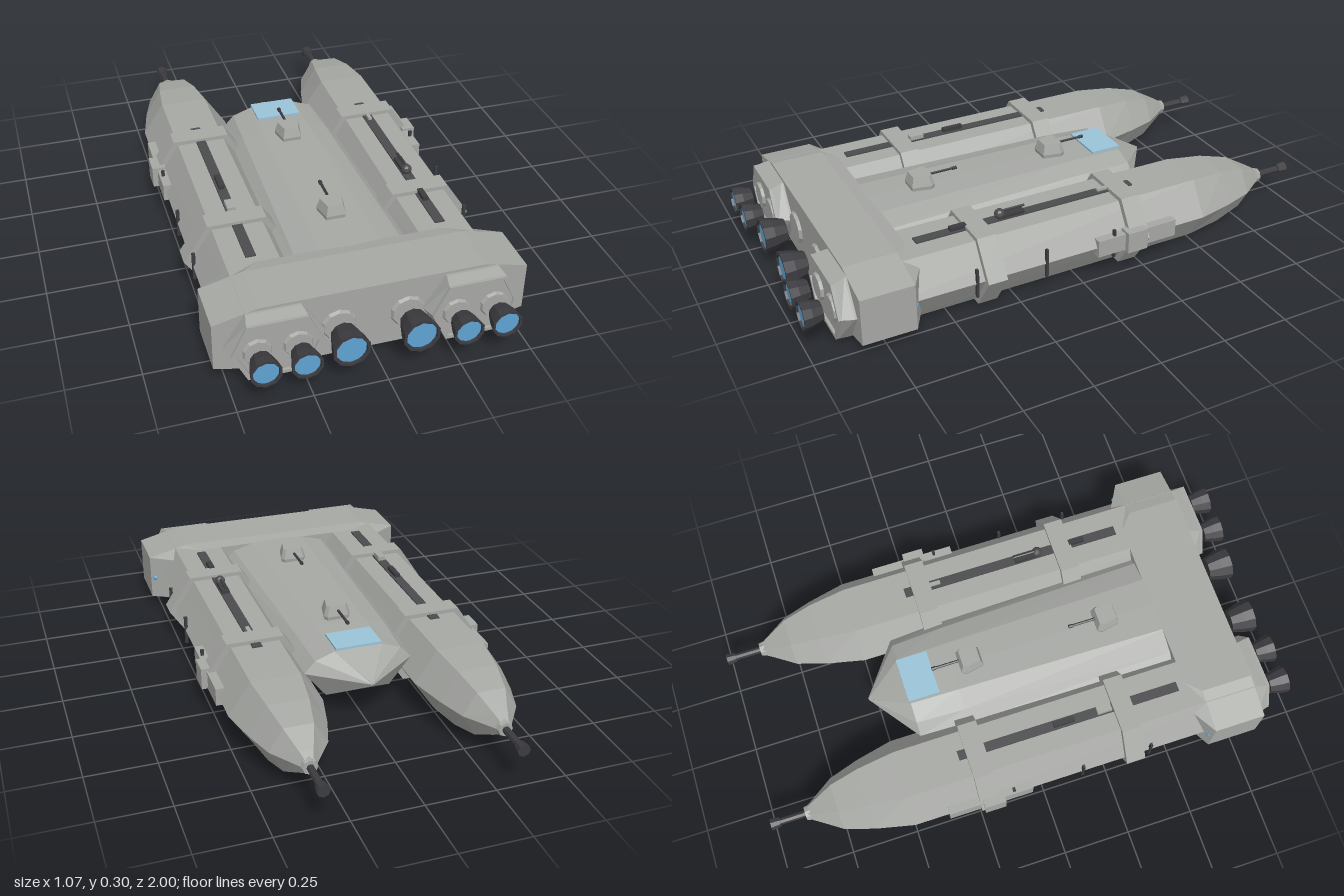
import * as THREE from 'three';

const mat = (name, color, extra = {}) => {
  const m = new THREE.MeshStandardMaterial({ color, flatShading: true, ...extra });
  m.name = name;
  return m;
};
const hullGrey = mat('hull grey', 0xa6a8a4);
const darkGrey = mat('dark trim', 0x4b4b4e);
const gunGrey = mat('gunmetal', 0x3c3c40);
const glowBlue = mat('engine blue', 0x5fa3d2, { side: THREE.DoubleSide });
const glassBlue = mat('window blue', 0x9ac3d8);

// Skin over cross-sections [z, [[x, y], ...]], counter-clockwise, z increasing
function loft(sections) {
  const n = sections[0][1].length, pos = [], idx = [];
  sections.forEach(([z, pts]) => pts.forEach(([x, y]) => pos.push(x, y, z)));
  for (let i = 0; i < sections.length - 1; i++) {
    for (let j = 0; j < n; j++) {
      const a = i * n + j, b = i * n + (j + 1) % n;
      idx.push(a, b, a + n, b, b + n, a + n);
    }
  }
  const last = (sections.length - 1) * n;
  for (let j = 1; j < n - 1; j++) {
    idx.push(0, j + 1, j, last, last + j, last + j + 1);
  }
  const g = new THREE.BufferGeometry();
  g.setAttribute('position', new THREE.Float32BufferAttribute(pos, 3));
  g.setIndex(idx);
  const flat = g.toNonIndexed();
  flat.computeVertexNormals();
  return flat;
}

const hex = (hw, flat, hh, cx = 0, cy = 0.137) => [
  [hw, 0], [flat, hh], [-flat, hh], [-hw, 0], [-flat, -hh], [flat, -hh],
].map(([x, y]) => [cx + x, cy + y]);

const octagon = (hw, flat, hh, sideH, cy = 0.14) => [
  [hw, -sideH], [hw, sideH], [flat, hh], [-flat, hh],
  [-hw, sideH], [-hw, -sideH], [-flat, -hh], [flat, -hh],
].map(([x, y]) => [x, cy + y]);

function add(parent, name, geometry, material, x = 0, y = 0, z = 0) {
  const m = new THREE.Mesh(geometry, material);
  m.name = name;
  m.position.set(x, y, z);
  parent.add(m);
  return m;
}
const box = (w, h, d) => new THREE.BoxGeometry(w, h, d);
// Cylinder along z; rBack is the radius at the +z end
const rod = (rBack, rFront, len, sides = 10, open = false) =>
  new THREE.CylinderGeometry(rBack, rFront, len, sides, 1, open).rotateX(Math.PI / 2);

// Engine bell with a glowing disc set inside its rim
function engine(parent, x, r, zEnd, len, mountZ) {
  const g = new THREE.Group();
  g.name = 'engine';
  g.position.set(x, 0.135, 0);
  parent.add(g);
  const bell = [[0, -len], [r * 0.68, -len], [r * 0.9, -len * 0.45], [r, 0], [r * 0.84, 0], [r * 0.82, -0.012]]
    .map(([a, b]) => new THREE.Vector2(a, b));
  add(g, 'engineBell', new THREE.LatheGeometry(bell, 10).rotateX(Math.PI / 2), gunGrey, 0, 0, zEnd);
  add(g, 'engineGlow', new THREE.CircleGeometry(r * 0.84, 10), glowBlue, 0, 0, zEnd - 0.008);
  add(g, 'engineCollar', rod(r * 0.85, r * 0.95, 0.012), hullGrey, 0, 0, mountZ);
}

// Faceted deck turret aiming towards -z
function turret(parent, z) {
  const g = new THREE.Group();
  g.name = 'deckTurret';
  g.position.set(0, 0.255, z);
  parent.add(g);
  const plan = s => [[0.05, 0.025], [0.04, 0.042], [-0.04, 0.042], [-0.05, 0.025], [-0.035, -0.045], [0.035, -0.045]]
    .map(([x, y]) => [x * s, y * s]);
  add(g, 'turretBody', loft([[0, plan(0.95)], [0.015, plan(1)], [0.053, plan(0.78)]]).rotateX(-Math.PI / 2), hullGrey);
  add(g, 'turretBase', new THREE.CylinderGeometry(0.036, 0.036, 0.012, 10), darkGrey);
  add(g, 'turretBarrel', rod(0.005, 0.005, 0.1, 6), gunGrey, 0, 0.037, -0.09);
  add(g, 'turretMuzzle', rod(0.007, 0.007, 0.016, 6), gunGrey, 0, 0.037, -0.137);
}

function pod(parent, s) {
  const g = new THREE.Group();
  g.name = s > 0 ? 'leftPod' : 'rightPod';
  g.position.x = s * 0.337;
  parent.add(g);
  add(g, 'podHull', loft([
    [-0.865, hex(0.022, 0.012, 0.02)],
    [-0.83, hex(0.045, 0.024, 0.04)],
    [-0.75, hex(0.1, 0.052, 0.082)],
    [-0.64, hex(0.135, 0.072, 0.106)],
    [-0.5, hex(0.167, 0.088, 0.118)],
    [0.85, hex(0.167, 0.092, 0.118)],
    [0.89, hex(0.152, 0.1, 0.108)],
  ]), hullGrey);
  // raised frame around the end plate
  const shape = new THREE.Shape(hex(0.152, 0.1, 0.108, 0, 0).map(p => new THREE.Vector2(...p)));
  shape.holes.push(new THREE.Path(hex(0.136, 0.09, 0.096, 0, 0).map(p => new THREE.Vector2(...p))));
  add(g, 'endFrame', new THREE.ExtrudeGeometry(shape, { depth: 0.012, bevelEnabled: false }), hullGrey, 0, 0.137, 0.888);
  // clamping bands
  for (const z of [-0.215, 0.35]) {
    add(g, 'podBand', loft([[z - 0.036, hex(0.193, 0.105, 0.133)], [z + 0.036, hex(0.193, 0.105, 0.133)]]), hullGrey);
  }
  // bow gun
  add(g, 'bowBarrel', rod(0.013, 0.013, 0.13, 8), gunGrey, 0, 0.137, -0.91);
  add(g, 'bowMuzzle', rod(0.018, 0.023, 0.035, 8), gunGrey, 0, 0.137, -0.9825);
  add(g, 'bowCollar', rod(0.03, 0.026, 0.02, 8), hullGrey, 0, 0.137, -0.86);
  // top rail, side box, side bars and marker light
  add(g, 'topRail', box(0.036, 0.008, 0.85), darkGrey, 0, 0.256, 0.145);
  add(g, 'sideBox', box(0.035, 0.065, 0.32), hullGrey, s * 0.16, 0.137, -0.21);
  add(g, 'sideBoxCap', box(0.05, 0.08, 0.08), hullGrey, s * 0.172, 0.14, -0.2);
  for (const z of [0.415, 0.15, -0.12]) {
    add(g, 'sideBar', box(0.012, 0.11, 0.009), gunGrey, s * 0.164, 0.137, z);
  }
  add(g, 'markerLight', new THREE.SphereGeometry(0.013, 10, 8), glowBlue, s * 0.18, 0.137, 0.648);
  return g;
}

export function createModel() {
  const ship = new THREE.Group();
  ship.name = 'spaceship';

  // centre hull: shallow arch above, flatter keel below, pointed bow
  const arch = (w, side, top, low) => [
    [w, side], [w * 0.8, side + (top - side) * 0.62], [w * 0.45, top - 0.002], [0, top], [-w * 0.45, top - 0.002],
    [-w * 0.8, side + (top - side) * 0.62], [-w, side], [-w * 0.6, low], [w * 0.6, low],
  ];
  add(ship, 'centreHull', loft([
    [-0.53, arch(0.002, 0.18, 0.183, 0.177)],
    [-0.385, arch(0.2, 0.18, 0.252, 0.08)],
    [-0.2, arch(0.21, 0.19, 0.257, 0.06)],
    [0.65, arch(0.24, 0.19, 0.257, 0.05)],
  ]), hullGrey);
  add(ship, 'bridgeWindow', box(0.17, 0.008, 0.118), glassBlue, 0, 0.259, -0.331);
  turret(ship, -0.13);
  turret(ship, 0.405);

  // stern block joining hull and pods
  add(ship, 'sternBlock', loft([
    [0.6, octagon(0.45, 0.33, 0.115, 0.085)],
    [0.65, octagon(0.537, 0.385, 0.125, 0.088)],
    [0.842, octagon(0.537, 0.385, 0.125, 0.088)],
  ]), hullGrey);

  const left = pod(ship, 1), right = pod(ship, -1);

  // small fittings on the pod rails
  add(left, 'railTurret', new THREE.SphereGeometry(0.02, 8, 6), darkGrey, 0, 0.274, 0.25);
  add(left, 'railTurretBarrel', rod(0.005, 0.005, 0.09, 6), gunGrey, 0, 0.284, 0.2);
  add(left, 'railMount', box(0.03, 0.014, 0.1), gunGrey, 0, 0.265, 0.21);
  add(left, 'railBox', box(0.02, 0.016, 0.06), gunGrey, 0, 0.266, 0.41);
  add(left, 'railPlate', box(0.014, 0.014, 0.05), hullGrey, 0, 0.262, -0.165);
  add(right, 'railCrate', box(0.028, 0.02, 0.055), hullGrey, 0, 0.266, 0.28);
  add(right, 'railPack', box(0.02, 0.016, 0.08), gunGrey, 0, 0.266, 0.125);

  for (const s of [-1, 1]) {
    engine(ship, s * 0.118, 0.064, 0.975, 0.088, 0.847);
    engine(ship, s * 0.27, 0.053, 1, 0.07, 0.895);
    engine(ship, s * 0.403, 0.053, 1, 0.07, 0.895);
  }
  return ship;
}
